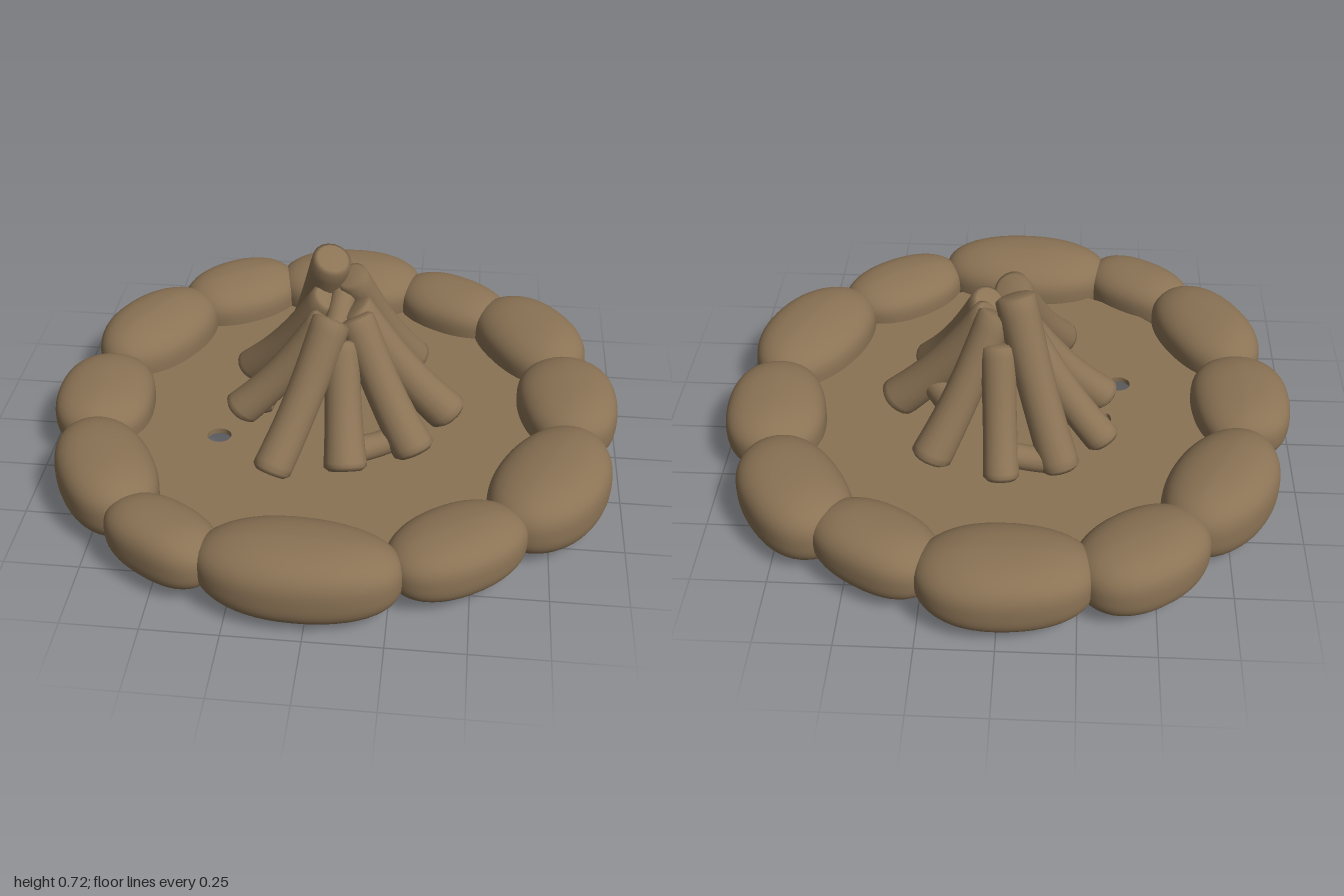
import * as THREE from 'three';
import { mergeVertices } from 'three/addons/utils/BufferGeometryUtils.js';

const clay = new THREE.MeshStandardMaterial({ color: 0x8b7355 });
clay.name = 'brown clay';

// Merge the seams so that a shaped geometry shades smoothly
function smooth(geometry) {
  geometry.deleteAttribute('normal');
  geometry.deleteAttribute('uv');
  const merged = mergeVertices(geometry, 1e-4);
  merged.computeVertexNormals();
  return merged;
}

// Plump boulder: a sphere pushed out towards a rounded box, with slight lumps
function makeStone([x, z, length, depth, top, bottom], i) {
  const geometry = new THREE.IcosahedronGeometry(1, 10);
  const pos = geometry.attributes.position;
  const v = new THREE.Vector3();
  const height = (top - bottom) / 2;
  for (let k = 0; k < pos.count; k++) {
    v.fromBufferAttribute(pos, k);
    const flat = Math.pow(Math.abs(v.x) ** 2.2 + Math.abs(v.z) ** 2.2, 1 / 2.2);
    v.divideScalar(Math.pow(flat ** 2.8 + Math.abs(v.y) ** 2.8, 1 / 2.8));
    const lump = 1 + 0.03 * Math.sin(3 * v.x + i * 2) * Math.cos(2.5 * v.z + i);
    // The inner side slopes down to the floor
    const slope = v.y > 0 ? 1 - 0.15 * Math.max(0, -v.z) : 1;
    pos.setXYZ(k, v.x * length * lump, v.y * height * slope, v.z * depth * lump);
  }
  const stone = new THREE.Mesh(smooth(geometry), clay);
  stone.name = 'stone' + (i + 1);
  stone.position.set(x, (top + bottom) / 2, z);
  stone.rotation.y = Math.atan2(x, z);
  return stone;
}

// Log: a lathed stick with rounded ends, sagging a little in the middle
function makeLog(name, from, to, r0, r1, sag = 0.03) {
  const a = new THREE.Vector3(...from), b = new THREE.Vector3(...to);
  const length = a.distanceTo(b);
  const profile = [new THREE.Vector2(0, 0), new THREE.Vector2(r0 * 0.75, 0.004), new THREE.Vector2(r0 * 0.97, 0.02)];
  for (let s = 1; s < 12; s++) {
    const t = s / 12;
    const waist = 1 - 0.06 * Math.sin(Math.PI * t);
    profile.push(new THREE.Vector2((r0 + (r1 - r0) * t) * waist, t * length));
  }
  profile.push(new THREE.Vector2(r1 * 0.97, length - 0.01), new THREE.Vector2(r1 * 0.75, length - 0.002), new THREE.Vector2(0, length));
  const geometry = new THREE.LatheGeometry(profile, 18);
  const dir = b.clone().sub(a).normalize();
  geometry.applyQuaternion(new THREE.Quaternion().setFromUnitVectors(new THREE.Vector3(0, 1, 0), dir));
  geometry.translate(a.x, a.y, a.z);
  const pos = geometry.attributes.position;
  const v = new THREE.Vector3();
  for (let k = 0; k < pos.count; k++) {
    v.fromBufferAttribute(pos, k);
    const t = THREE.MathUtils.clamp(v.clone().sub(a).dot(dir) / length, 0, 1);
    pos.setY(k, v.y - sag * Math.sin(Math.PI * t));
  }
  const log = new THREE.Mesh(smooth(geometry), clay);
  log.name = name;
  return log;
}

export function createModel() {
  const model = new THREE.Group();
  model.name = 'campfire';

  // Thin raised floor with two small holes
  const shape = new THREE.Shape().absarc(0, 0, 0.76, 0, Math.PI * 2);
  for (const [x, z, rx, rz] of [[-0.39, 0.17, 0.042, 0.038], [-0.345, -0.035, 0.016, 0.035]]) {
    shape.holes.push(new THREE.Path().absellipse(x, -z, rx, rz, 0, Math.PI * 2, true));
  }
  const floorGeometry = new THREE.ExtrudeGeometry(shape, { depth: 0.02, bevelEnabled: false, curveSegments: 32 });
  floorGeometry.rotateX(-Math.PI / 2);
  const floor = new THREE.Mesh(floorGeometry, clay);
  floor.name = 'floor';
  floor.position.y = 0.1;
  model.add(floor);

  // Ring of stones: x, z, half length, half depth, top, bottom
  const stones = new THREE.Group();
  stones.name = 'stoneRing';
  [
    [-0.02, -0.82, 0.285, 0.18, 0.27, 0.02],
    [0.39, -0.71, 0.23, 0.145, 0.25, 0.03],
    [0.69, -0.49, 0.26, 0.17, 0.265, 0.01],
    [0.82, -0.09, 0.24, 0.175, 0.26, 0.03],
    [0.75, 0.36, 0.28, 0.18, 0.265, 0.01],
    [0.45, 0.69, 0.24, 0.155, 0.245, 0.03],
    [-0.03, 0.83, 0.32, 0.17, 0.27, 0.01],
    [-0.47, 0.74, 0.215, 0.13, 0.245, 0.03],
    [-0.72, 0.45, 0.26, 0.16, 0.265, 0.02],
    [-0.82, 0.04, 0.23, 0.175, 0.25, 0.03],
    [-0.72, -0.4, 0.265, 0.17, 0.275, 0.0],
    [-0.45, -0.72, 0.235, 0.165, 0.26, 0.02],
  ].forEach((s, i) => stones.add(makeStone(s, i)));
  model.add(stones);

  // Logs leaning together: foot, top, foot radius, top radius
  const logs = new THREE.Group();
  logs.name = 'logPile';
  [
    [[0.01, 0.15, -0.4], [0.03, 0.55, -0.17], 0.062, 0.06],
    [[-0.19, 0.15, -0.34], [-0.02, 0.7, -0.1], 0.068, 0.07],
    [[-0.34, 0.16, -0.2], [-0.03, 0.57, -0.06], 0.063, 0.06],
    [[-0.34, 0.15, 0.06], [-0.03, 0.52, 0.01], 0.068, 0.06],
    [[-0.18, 0.15, 0.4], [0.0, 0.585, 0.1], 0.068, 0.068],
    [[0.07, 0.14, 0.35], [0.03, 0.5, 0.1], 0.075, 0.06],
    [[0.3, 0.15, 0.24], [0.07, 0.565, 0.05], 0.075, 0.065],
    [[0.41, 0.15, 0.01], [0.06, 0.56, -0.02], 0.075, 0.065],
    [[0.26, 0.16, -0.32], [0.04, 0.63, -0.11], 0.072, 0.06],
  ].forEach(([from, to, r0, r1], i) => logs.add(makeLog('log' + (i + 1), from, to, r0, r1)));
  model.add(logs);

  // Small sticks bridging the logs
  const sticks = new THREE.Group();
  sticks.name = 'bridgingSticks';
  [
    [[-0.17, 0.18, -0.32], [0.02, 0.22, -0.33]],
    [[-0.27, 0.16, 0.05], [-0.2, 0.24, -0.14]],
    [[0.08, 0.17, 0.27], [0.25, 0.19, 0.19]],
    [[0.26, 0.25, -0.02], [0.17, 0.27, -0.2]],
    [[0.0, 0.5, 0.1], [0.02, 0.56, -0.12]],
  ].forEach(([from, to], i) => sticks.add(makeLog('stick' + (i + 1), from, to, 0.048, 0.045, 0.01)));
  model.add(sticks);

  return model;
}
